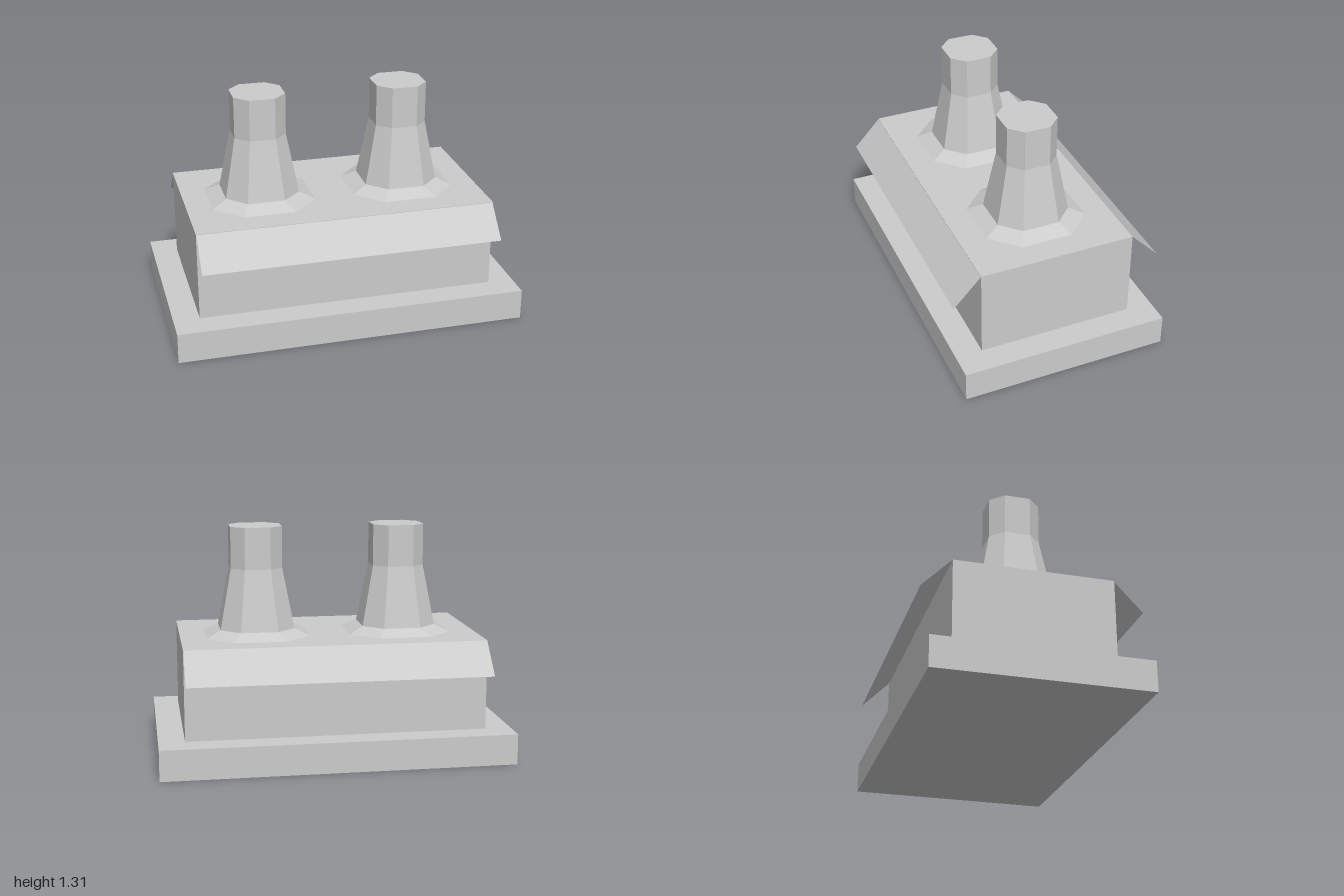
import * as THREE from 'three';

const material = new THREE.MeshStandardMaterial({ color: 0xcccccc, flatShading: true });
const thinMaterial = new THREE.MeshStandardMaterial({ color: 0xcccccc, flatShading: true, side: THREE.DoubleSide });

function addBox(group, name, w, h, d, y, z) {
  const mesh = new THREE.Mesh(new THREE.BoxGeometry(w, h, d), material);
  mesh.name = name;
  mesh.position.set(0, y + h / 2, z);
  group.add(mesh);
}

// Eight-sided ring whose corners sit halfway along each axis-facing side
function ring(r, y) {
  const c = r / 2;
  return [[c, r], [r, c], [r, -c], [c, -r], [-c, -r], [-r, -c], [-r, c], [-c, r]]
    .map(([x, z]) => [x, y, z]);
}

// Joins stacked rings [radius, height] from bottom to top and caps both ends
function loftOctagon(levels) {
  const rings = levels.map(([r, y]) => ring(r, y));
  const pos = [];
  const tri = (a, b, c) => pos.push(...a, ...b, ...c);
  for (let i = 0; i < 8; i++) {
    const j = (i + 1) % 8;
    for (let k = 0; k + 1 < rings.length; k++) {
      const lo = rings[k], hi = rings[k + 1];
      tri(lo[i], lo[j], hi[j]);
      tri(lo[i], hi[j], hi[i]);
    }
    const top = rings.length - 1;
    tri([0, levels[top][1], 0], rings[top][i], rings[top][j]);
    tri([0, levels[0][1], 0], rings[0][j], rings[0][i]);
  }
  const geometry = new THREE.BufferGeometry();
  geometry.setAttribute('position', new THREE.Float32BufferAttribute(pos, 3));
  geometry.computeVertexNormals();
  return geometry;
}

// Thin sloping flap hanging from a roof edge
function eaveFlap(zRoof, zEdge) {
  const w = 0.85, yRoof = 0.688, yEdge = 0.518;
  const a = [-w, yRoof, zRoof], b = [w, yRoof, zRoof], c = [w, yEdge, zEdge], d = [-w, yEdge, zEdge];
  const quad = zEdge > 0 ? [a, d, c, a, c, b] : [a, c, d, a, b, c];
  const geometry = new THREE.BufferGeometry();
  geometry.setAttribute('position', new THREE.Float32BufferAttribute(quad.flat(), 3));
  geometry.computeVertexNormals();
  return new THREE.Mesh(geometry, thinMaterial);
}

export function createModel() {
  const group = new THREE.Group();

  // Plinth and main block
  addBox(group, 'base', 2, 0.175, 1.19, 0, 0.005);
  addBox(group, 'body', 1.705, 0.513, 0.89, 0.175, 0.003);

  // Eaves along front and back
  const front = eaveFlap(0.445, 0.605);
  front.name = 'frontEave';
  const back = eaveFlap(-0.442, -0.608);
  back.name = 'backEave';
  group.add(front, back);

  // Two chimneys, each with a spreading foot
  for (const [name, x] of [['rightChimney', -0.413], ['leftChimney', 0.41]]) {
    const chimney = new THREE.Group();
    chimney.name = name;
    chimney.position.x = x;
    const foot = new THREE.Mesh(loftOctagon([[0.296, 0.688], [0.212, 0.727]]), material);
    foot.name = 'chimneyFoot';
    const stack = new THREE.Mesh(loftOctagon([[0.212, 0.727], [0.147, 1.075], [0.147, 1.313]]), material);
    stack.name = 'chimneyStack';
    chimney.add(foot, stack);
    group.add(chimney);
  }
  return group;
}
